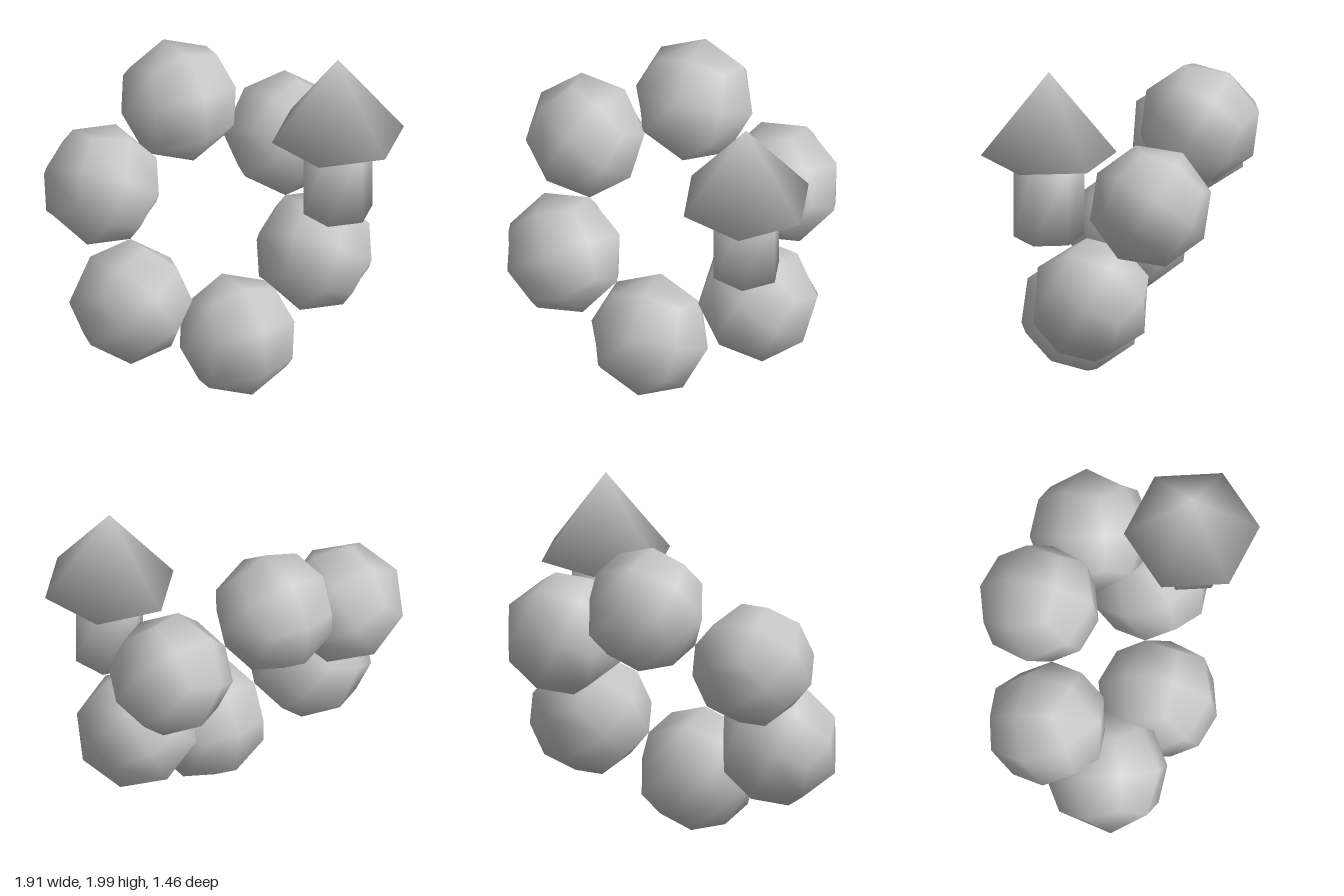
import * as THREE from 'three';

const grey = new THREE.MeshStandardMaterial({ color: 0xc8c8c8 });
grey.name = 'plain grey';

// Ball made from a 2 x 2 x 2 box pushed out to a sphere, with smooth normals
function ballGeometry(radius) {
  const geo = new THREE.BoxGeometry(1, 1, 1, 2, 2, 2);
  const pos = geo.attributes.position;
  const v = new THREE.Vector3();
  for (let i = 0; i < pos.count; i++) {
    v.fromBufferAttribute(pos, i).normalize();
    geo.attributes.normal.setXYZ(i, v.x, v.y, v.z);
    pos.setXYZ(i, v.x * radius, v.y * radius, v.z * radius);
  }
  return geo;
}

// Six-sided prism or cone whose normals run smoothly over the rims
function hexGeometry(topRadius, bottomRadius, height, lean) {
  const turn = THREE.MathUtils.degToRad(15);
  const geo = new THREE.CylinderGeometry(topRadius, bottomRadius, height, 6, 1, false, turn);
  const pos = geo.attributes.position;
  const v = new THREE.Vector3();
  for (let i = 0; i < pos.count; i++) {
    v.fromBufferAttribute(pos, i);
    const up = Math.sign(v.y);
    v.y = 0;
    if (v.length() < 1e-4) v.set(0, up, 0);
    else {
      v.normalize();
      v.y = up * lean;
      v.normalize();
    }
    geo.attributes.normal.setXYZ(i, v.x, v.y, v.z);
  }
  return geo;
}

export function createModel() {
  const model = new THREE.Group();
  model.name = 'ballRingWithArrow';

  // Ring of six balls, leaning back
  const ring = new THREE.Group();
  ring.name = 'ballRing';
  ring.position.set(-0.03, 0.934, -0.05);
  ring.rotation.x = -Math.PI / 6;
  const ball = ballGeometry(0.352);
  const ringRadius = 0.68;
  for (let i = 0; i < 6; i++) {
    const a = (i * Math.PI) / 3;
    const mesh = new THREE.Mesh(ball, grey);
    mesh.name = 'ball' + (i + 1);
    mesh.position.set(-Math.sin(a) * ringRadius, Math.cos(a) * ringRadius, 0);
    mesh.rotation.z = a;
    ring.add(mesh);
  }
  model.add(ring);

  // Upright arrow in front of the ring: shaft and pointed head
  const arrow = new THREE.Group();
  arrow.name = 'arrow';
  arrow.position.set(0.58, 0, 0.358);
  const shaft = new THREE.Mesh(hexGeometry(0.2, 0.2, 0.49, 0.77), grey);
  shaft.name = 'arrowShaft';
  shaft.position.y = 1.265;
  const head = new THREE.Mesh(hexGeometry(0, 0.383, 0.49, 0.39), grey);
  head.name = 'arrowHead';
  head.position.y = 1.755;
  arrow.add(shaft, head);
  model.add(arrow);

  return model;
}
